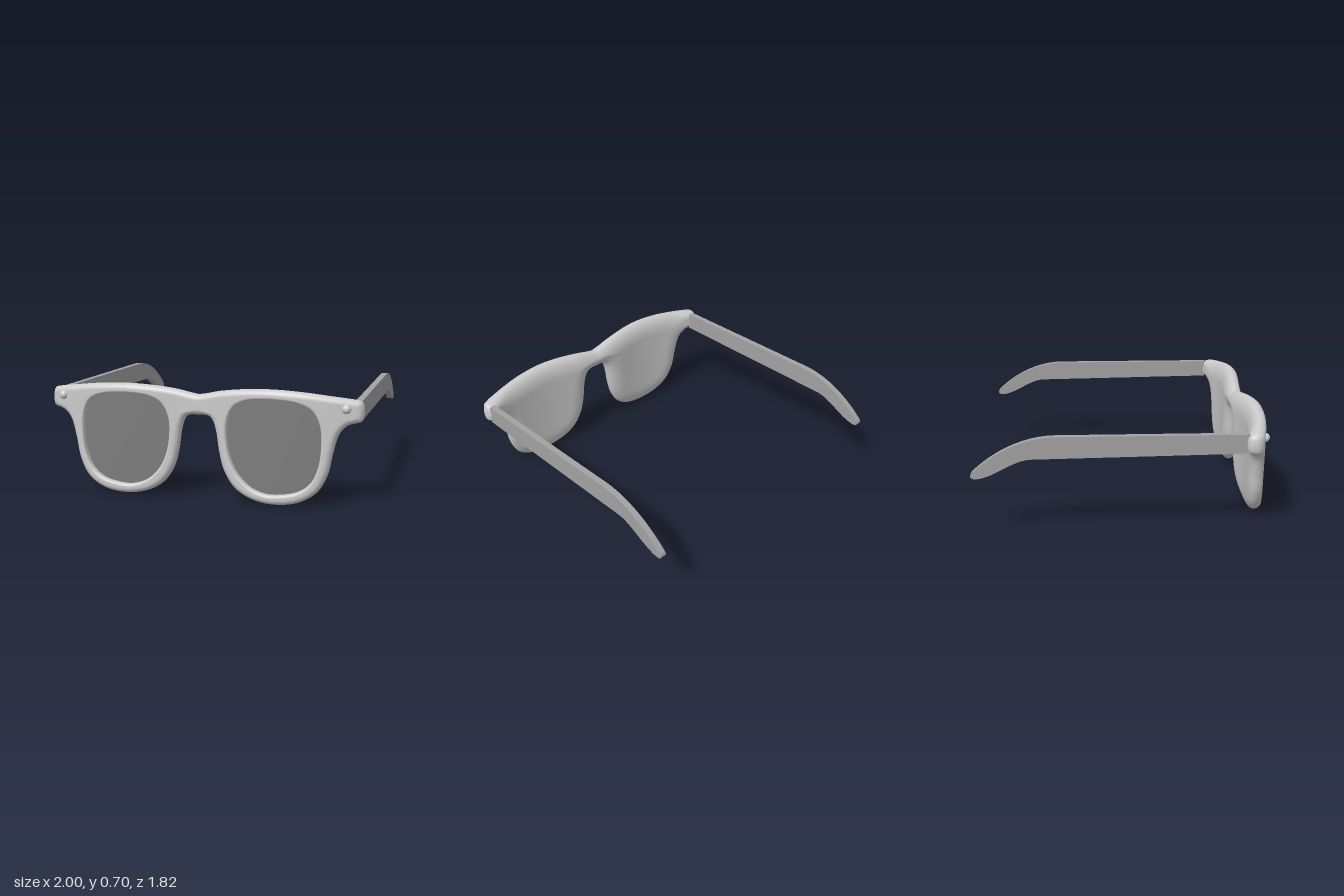
import * as THREE from 'three';
import { mergeGeometries, mergeVertices } from 'three/addons/utils/BufferGeometryUtils.js';

const V = (x, y) => new THREE.Vector2(x, y);
const spline = (pts) => new THREE.SplineCurve(pts.map(([x, y]) => V(x, y)));
const CENTER = V(0.47, 0.5);    // rings of one half run around this point
const HALF = 0.053;             // half thickness of the front
const EDGE = 0.012;             // depth of the outermost edge
const ROUND = 0.035;            // width of the rounding on the front side

// Wave of the front as seen from above: middle depth for a distance from the centre
function midZ(x) {
  return x < 0.47
    ? 0.82 + 0.033 * Math.sin((Math.PI * x) / 0.94) ** 2
    : 0.853 - 0.083 * ((x - 0.47) / 0.53) ** 2;
}

// Outline of one half, from the top of the bridge clockwise to its underside
const OUTLINE = [
  [0, 0.645], [0.06, 0.656], [0.15, 0.675], [0.3, 0.693], [0.47, 0.7], [0.65, 0.69], [0.8, 0.672],
  [0.94, 0.652], [0.985, 0.637], [0.998, 0.58], [0.988, 0.526], [0.95, 0.513], [0.9, 0.495],
  [0.855, 0.44], [0.825, 0.33], [0.797, 0.2], [0.735, 0.09], [0.62, 0.022], [0.47, 0.003],
  [0.33, 0.027], [0.225, 0.09], [0.16, 0.19], [0.13, 0.3], [0.112, 0.42], [0.09, 0.49],
  [0.06, 0.517], [0, 0.52],
];

// Lens opening
const OPENING = [
  [0.46, 0.641], [0.6, 0.631], [0.7, 0.59], [0.75, 0.5], [0.76, 0.38], [0.745, 0.25],
  [0.7, 0.15], [0.62, 0.09], [0.5, 0.065], [0.41, 0.069], [0.32, 0.107], [0.245, 0.185],
  [0.2, 0.29], [0.182, 0.42], [0.194, 0.52], [0.24, 0.595], [0.33, 0.633], [0.46, 0.641],
];

// Loops of one half: outer edge, outer edge moved inwards, and lens opening
function makeLoops() {
  const N = 180, curve = spline(OUTLINE), outer = [], inset = [];
  curve.getSpacedPoints(N).forEach((p, i) => {
    const t = curve.getTangentAt(i / N);
    const n = V(-t.y, t.x);
    if (i === 0 || i === N) { p.x = 0; n.set(0, i ? -1 : 1); }
    outer.push(p);
    inset.push(p.clone().addScaledVector(n, -ROUND));
  });
  const rim = outer.slice();
  for (let k = 1; k < 5; k++) {     // close along the centre line
    const p = inset[N].clone().lerp(inset[0], k / 5);
    outer.push(p);
    inset.push(p.clone());
  }
  const samples = spline(OPENING).getSpacedPoints(3000);
  const dirs = samples.map((s) => s.clone().sub(CENTER).normalize());
  const opening = outer.map((p) => {
    const d = p.clone().sub(CENTER).normalize();
    let best = 0;
    dirs.forEach((e, i) => { if (e.dot(d) > dirs[best].dot(d)) best = i; });
    return samples[best].clone();
  });
  return { rim, outer, inset, opening };
}

// Skin between successive rings; each ring is { pts, z(point), wall }
function skin(rings, side) {
  const pos = [], index = [], n = rings[0].pts.length;
  rings.forEach(({ pts, z }) => pts.forEach((p) => pos.push(side * p.x, p.y, midZ(p.x) + z(p))));
  for (let i = 0; i + 1 < rings.length; i++) {
    for (let j = 0; j < n; j++) {
      const k = (j + 1) % n;
      // the halves meet at x = 0, so no wall is needed there
      if (rings[i + 1].wall && rings[i].pts[j].x < 1e-6 && rings[i].pts[k].x < 1e-6) continue;
      const a = i * n + j, b = i * n + k, c = b + n, d = a + n;
      if (side > 0) index.push(a, b, d, b, c, d);
      else index.push(a, d, b, b, d, c);
    }
  }
  const g = new THREE.BufferGeometry();
  g.setAttribute('position', new THREE.Float32BufferAttribute(pos, 3));
  g.setIndex(index);
  return g;
}

const blend = (a, b, t) => a.map((p, i) => p.clone().lerp(b[i], t));
const toCenter = (a, t) => a.map((p) => (t === 1 ? CENTER.clone() : p.clone().lerp(CENTER, t)));

export function createModel() {
  const model = new THREE.Group();
  const frameMaterial = new THREE.MeshStandardMaterial({ color: 0xcccccc });
  const armMaterial = new THREE.MeshStandardMaterial({ color: 0xa2a2a2 });
  const lensMaterial = new THREE.MeshStandardMaterial({ color: 0x7c7c7c });
  const add = (name, geometry, material) => {
    const mesh = new THREE.Mesh(geometry, material);
    mesh.name = name;
    model.add(mesh);
    return mesh;
  };

  const { rim, outer, inset, opening } = makeLoops();

  // Back depth swells from the edge inwards: softly behind the lenses, tightly at the hinges
  const backZ = (p) => {
    const width = 0.13 - 0.08 * THREE.MathUtils.smoothstep(p.x, 0.75, 0.93);
    const d = Math.min(width, ...rim.map((q) => q.distanceTo(p)));
    return EDGE - (HALF + EDGE) * Math.sqrt(1 - (1 - d / width) ** 2);
  };

  // Frame: opening wall, front face, rounded edge, then the closed back
  const lip = opening.map((p) => p.clone().add(p.clone().sub(CENTER).setLength(0.012)));
  const rings = [
    { pts: opening, z: () => 0.01 },
    { pts: opening, z: () => 0.04 },
    { pts: blend(opening, lip, 0.35), z: () => 0.049 },
  ];
  for (let i = 0; i <= 6; i++) rings.push({ pts: blend(lip, inset, i / 6), z: () => HALF });
  for (let i = 1; i <= 7; i++) {
    const a = (Math.PI * i) / 14;
    const z = EDGE + (HALF - EDGE) * Math.cos(a);
    rings.push({ pts: blend(inset, outer, Math.sin(a)), z: () => z, wall: true });
  }
  for (let i = 1; i <= 6; i++) {
    rings.push({ pts: blend(outer, inset, (i / 6) ** 2), z: backZ, wall: true });
  }
  for (let i = 1; i <= 16; i++) rings.push({ pts: toCenter(inset, (i / 16) ** 1.3), z: backZ });
  const frame = mergeVertices(mergeGeometries([skin(rings, 1), skin(rings, -1)]), 1e-4);
  frame.computeVertexNormals();
  add('frame', frame, frameMaterial);

  // Temple arm profile, drawn with z to the right
  const arm = new THREE.Shape();
  arm.moveTo(0.745, 0.64);
  arm.lineTo(-0.4, 0.64);
  arm.bezierCurveTo(-0.6, 0.64, -0.78, 0.54, -0.9, 0.425);
  arm.bezierCurveTo(-0.925, 0.4, -0.905, 0.38, -0.87, 0.385);
  arm.bezierCurveTo(-0.76, 0.4, -0.66, 0.5, -0.55, 0.503);
  arm.lineTo(0.745, 0.522);
  arm.closePath();

  for (const side of [1, -1]) {
    const label = side > 0 ? 'left' : 'right';

    // Lens, following the wave of the front
    const lensRings = [];
    for (let i = 8; i >= 0; i--) lensRings.push({ pts: toCenter(opening, i / 8), z: () => 0.015 });
    const lens = mergeVertices(skin(lensRings, side), 1e-4);
    lens.computeVertexNormals();
    add(label + 'Lens', lens, lensMaterial);

    // Rivet on the front corner
    const rivet = add(label + 'Rivet', new THREE.SphereGeometry(0.028, 24, 16), frameMaterial);
    rivet.position.set(side * 0.9, 0.602, 0.848);

    // Temple arm
    const temple = new THREE.ExtrudeGeometry(arm, { depth: 0.04, bevelEnabled: false, curveSegments: 20 });
    temple.rotateY(-Math.PI / 2);   // profile runs along z, thickness along x
    add(label + 'Temple', temple, armMaterial).position.x = side > 0 ? 0.98 : -0.92;
  }
  return model;
}
